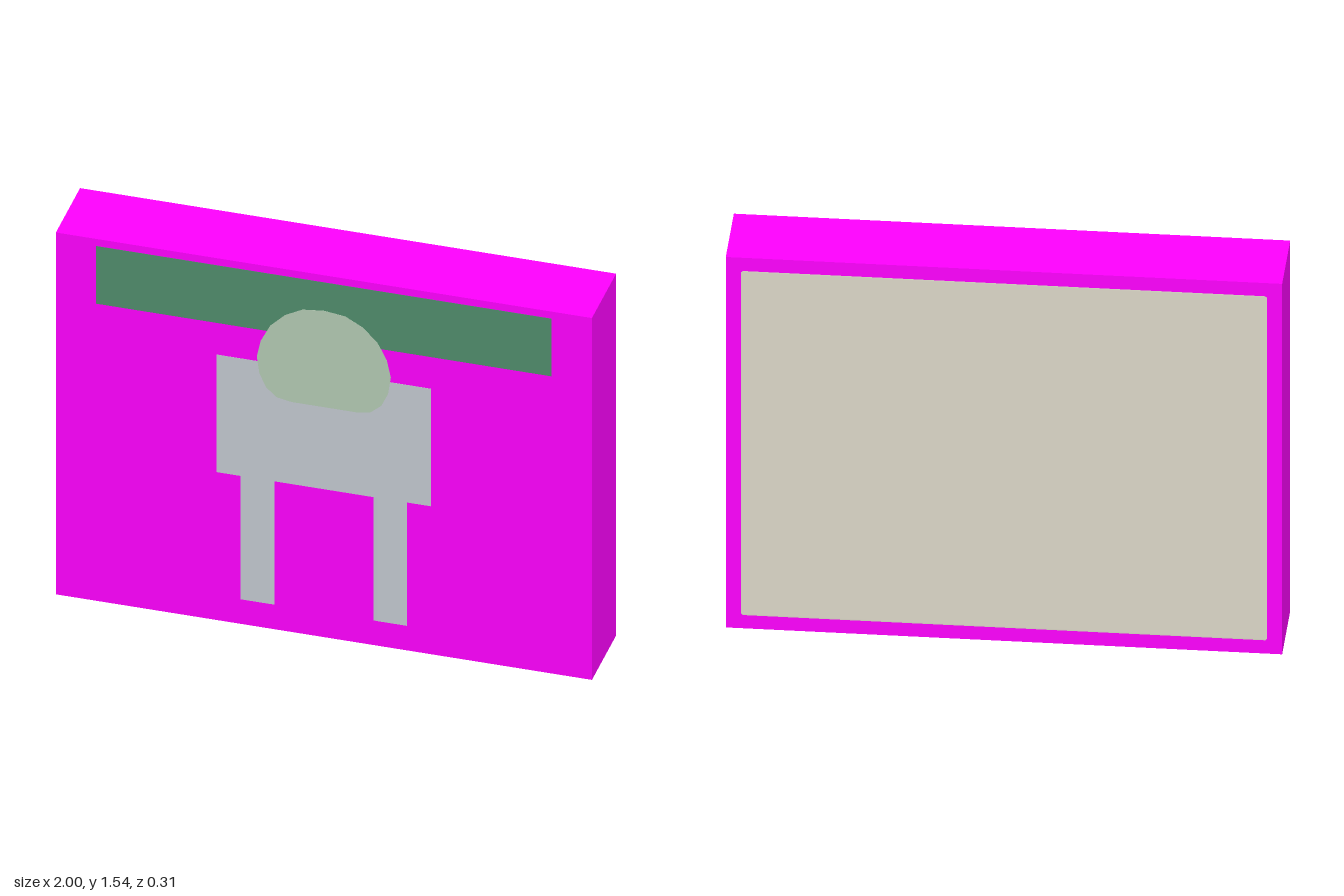
import * as THREE from 'three';
import { RoundedBoxGeometry } from 'three/addons/geometries/RoundedBoxGeometry.js';

const W = 2, H = 1.54, D = 0.306;
const FRONT = D / 2 + 0.001; // plane of the front emblem, just proud of the casing

function part(name, geometry, color, x = 0, y = 0, z = 0) {
  const mesh = new THREE.Mesh(geometry, new THREE.MeshStandardMaterial({ color }));
  mesh.name = name;
  mesh.position.set(x, y, z);
  return mesh;
}

// Flat plate whose front face lies on the emblem plane plus a small lift
function plate(name, points, color, lift = 0, depth = 0.08) {
  const shape = new THREE.Shape(points.map(([x, y]) => new THREE.Vector2(x, y)));
  const geometry = new THREE.ExtrudeGeometry(shape, { depth, bevelEnabled: false });
  return part(name, geometry, color, 0, 0, FRONT - depth + lift);
}

const rect = (x0, y0, x1, y1) => [[x0, y0], [x1, y0], [x1, y1], [x0, y1]];

export function createModel() {
  const group = new THREE.Group();
  group.name = 'panelBlock';

  // Square-edged casing and the rounded body that fills it, flush at the back
  group.add(part('casing', new THREE.BoxGeometry(W, H, D), 0xff00ff, 0, H / 2));
  group.add(part('roundedBody', new RoundedBoxGeometry(W - 0.002, H - 0.002, D, 3, 0.06),
    0xdcd8c8, 0, H / 2, -0.001));

  // Front emblem: banner, torso and domed head
  group.add(plate('banner', rect(-0.85, 1.265, 0.85, 1.51), 0x508c6c));
  group.add(plate('torso', rect(-0.4, 0.63, 0.4, 1.13), 0xc2c8d0));

  const half = [[0.12, 0.98], [0.175, 0.99], [0.215, 1.025], [0.24, 1.08], [0.25, 1.15],
    [0.235, 1.22], [0.2, 1.29], [0.145, 1.345], [0.08, 1.38]];
  const outline = [...half, [0, 1.39], ...half.map(([x, y]) => [-x, y]).reverse()];
  group.add(plate('head', outline, 0xb2c9b2, 0.001));

  // Mirrored legs with the inner front edge bevelled
  for (const side of [-1, 1]) {
    const section = new THREE.Shape([[0.185, 0], [0.31, 0], [0.31, 0.08], [0.2, 0.08], [0.185, 0.079]]
      .map(([x, z]) => new THREE.Vector2(side * x, -z)));
    const geometry = new THREE.ExtrudeGeometry(section, { depth: 0.525, bevelEnabled: false });
    geometry.rotateX(-Math.PI / 2);
    group.add(part(side > 0 ? 'leftLeg' : 'rightLeg', geometry, 0xc2c8d0, 0, 0.105, FRONT - 0.08));
  }
  return group;
}
